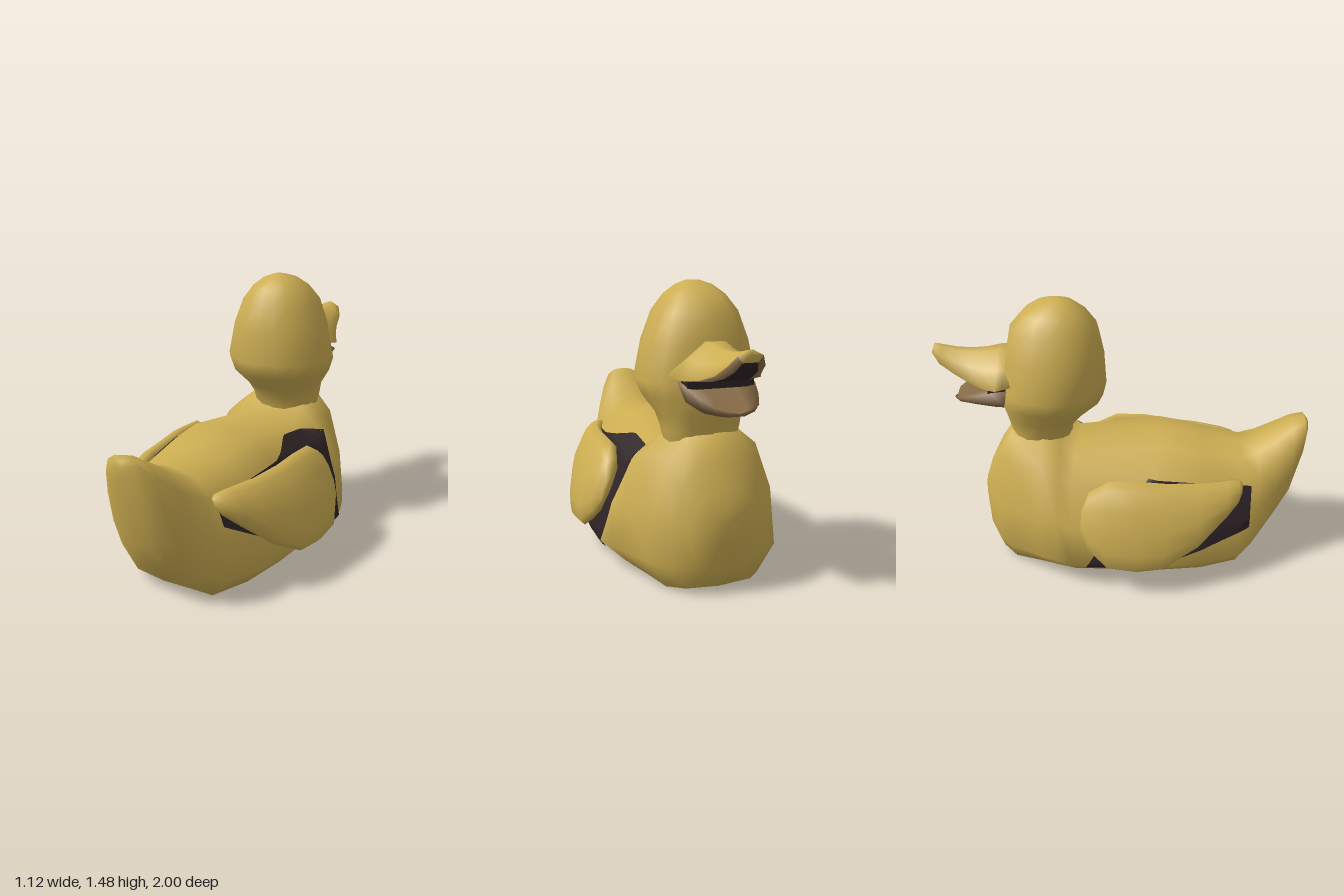
import * as THREE from 'three';

const yellow = new THREE.MeshStandardMaterial({ color: 0xccad52 });
yellow.name = 'yellow';
const dark = new THREE.MeshStandardMaterial({ color: 0x2e2326, side: THREE.DoubleSide });
dark.name = 'dark brown';
const brown = new THREE.MeshStandardMaterial({ color: 0x876b47 });
brown.name = 'beak brown';
const materials = [yellow, dark, brown];

// Skin through closed rings of [x, y, z]; paint(j) picks the material of strip j
function loft(name, rings, paint = () => 0) {
  const n = rings[0].length, pos = rings.flat(2), index = [];
  const geo = new THREE.BufferGeometry();
  for (let j = 0; j < n; j++) {
    const k = (j + 1) % n, start = index.length;
    for (let i = 0; i < rings.length - 1; i++) {
      const a = i * n + j, b = i * n + k;
      index.push(a, b, b + n, a, b + n, a + n);
    }
    geo.addGroup(start, index.length - start, paint(j));
  }
  // End caps
  const capStart = index.length;
  [0, rings.length - 1].forEach((r, end) => {
    const c = pos.length / 3;
    for (let d = 0; d < 3; d++) pos.push(rings[r].reduce((s, p) => s + p[d], 0) / n);
    for (let j = 0; j < n; j++) {
      const a = r * n + j, b = r * n + (j + 1) % n;
      if (end) index.push(a, b, c); else index.push(b, a, c);
    }
  });
  geo.addGroup(capStart, index.length - capStart, paint(-1));
  geo.setAttribute('position', new THREE.Float32BufferAttribute(pos, 3));
  geo.setIndex(index);
  geo.computeVertexNormals();
  const mesh = new THREE.Mesh(geo, materials);
  mesh.name = name;
  return mesh;
}

// Body stations: z, bottom, top, half width, roundness
const STATIONS = [
  [-0.775, 0.28, 0.44, 0.08, 1], [-0.745, 0.12, 0.53, 0.18, 0.8], [-0.68, 0.02, 0.665, 0.265, 0.3],
  [-0.6, 0.005, 0.79, 0.345, 0.1], [-0.42, 0.01, 0.795, 0.44, 0.2], [-0.33, 0.015, 0.76, 0.465, 0.1],
  [-0.25, 0.02, 0.69, 0.48, 0], [0.2, 0.02, 0.755, 0.475, 0], [0.45, 0.02, 0.715, 0.425, 0],
  [0.65, 0.02, 0.68, 0.35, 0.2], [0.74, 0.085, 0.715, 0.29, 0.5], [0.84, 0.23, 0.775, 0.225, 0.9],
  [0.92, 0.37, 0.83, 0.17, 1], [0.98, 0.64, 0.85, 0.115, 1], [1.0, 0.75, 0.83, 0.05, 1],
];
const HEIGHTS = [0, 0.02, 0.2, 0.5, 0.82, 0.96, 1];
const BODY_W = [0, 0.74, 1, 0.89, 0.66, 0.38, 0];
const TAIL_W = [0, 0.42, 0.85, 1, 0.86, 0.5, 0];
const lerp = THREE.MathUtils.lerp;

// Right-hand half of a body section, from bottom to top
const halfSection = ([, yb, yt, w, k]) =>
  HEIGHTS.map((h, i) => [w * lerp(BODY_W[i], TAIL_W[i], k), lerp(yb, yt, h)]);

// Half width of the body at a given z and y
function bodyX(z, y) {
  let i = 0;
  while (i < STATIONS.length - 2 && STATIONS[i + 1][0] < z) i++;
  const t = (z - STATIONS[i][0]) / (STATIONS[i + 1][0] - STATIONS[i][0]);
  const b = halfSection(STATIONS[i + 1]);
  const s = halfSection(STATIONS[i]).map((p, j) => [lerp(p[0], b[j][0], t), lerp(p[1], b[j][1], t)]);
  let j = 0;
  while (j < s.length - 2 && s[j + 1][1] < y) j++;
  return lerp(s[j][0], s[j + 1][0], (y - s[j][1]) / (s[j + 1][1] - s[j][1]));
}

function makeBody() {
  return loft('body', STATIONS.map((st) => {
    const half = halfSection(st);
    const left = half.slice(1, -1).reverse().map(([x, y]) => [-x, y]);
    return [...half, ...left].map(([x, y]) => [x, y, st[0]]);
  }));
}

// Neck and head rings: y, front z, back z, half width
function makeHead() {
  const rows = [
    [0.6, -0.57, -0.32, 0.15], [0.71, -0.6, -0.285, 0.185], [0.78, -0.612, -0.275, 0.2],
    [0.85, -0.63, -0.21, 0.215], [0.94, -0.65, -0.11, 0.275], [1.02, -0.64, -0.09, 0.305],
    [1.2, -0.62, -0.1, 0.265], [1.34, -0.59, -0.13, 0.21], [1.42, -0.52, -0.19, 0.15],
    [1.465, -0.45, -0.25, 0.09], [1.485, -0.38, -0.3, 0.035],
  ];
  const n = 16;
  return loft('head', rows.map(([y, zf, zb, w]) => Array.from({ length: n }, (_, j) => {
    const a = (j / n) * Math.PI * 2, s = Math.sin(a);
    // The face is squarer than the back of the head
    const wide = s > 0 ? Math.sign(Math.cos(a)) * Math.abs(Math.cos(a)) ** 0.7 : Math.cos(a);
    return [0.015 + w * wide, y, (zf + zb) / 2 - s * (zb - zf) / 2];
  })));
}

// Upper bill: z, ridge y, edge y, underside y, half width
function makeUpperBeak() {
  const rows = [
    [-1.0, 1.225, 1.2, 1.17, 0.06], [-0.96, 1.215, 1.15, 1.125, 0.09], [-0.88, 1.2, 1.1, 1.085, 0.11],
    [-0.8, 1.195, 1.07, 1.06, 0.145], [-0.72, 1.2, 1.055, 1.05, 0.19], [-0.65, 1.215, 1.06, 1.045, 0.225],
    [-0.61, 1.215, 1.07, 1.045, 0.225], [-0.52, 1.2, 1.08, 1.05, 0.18],
  ];
  return loft('upperBeak', rows.map(([z, yt, ye, yb, w]) => [
    [w, ye], [0.6 * w, lerp(ye, yt, 0.5)], [0.2 * w, yt], [-0.2 * w, yt],
    [-0.6 * w, lerp(ye, yt, 0.5)], [-w, ye], [-0.6 * w, yb], [0.6 * w, yb],
  ].map(([x, y]) => [x + 0.01, y, z])), (j) => (j === 6 ? 1 : j === 5 || j === 7 ? 2 : 0));
}

// Lower bill: z, top y, bottom y, half width
function makeLowerBeak() {
  const rows = [
    [-0.905, 0.945, 0.92, 0.06], [-0.87, 0.96, 0.912, 0.11], [-0.78, 0.99, 0.9, 0.15],
    [-0.68, 1.025, 0.89, 0.18], [-0.62, 1.035, 0.89, 0.185], [-0.52, 1.035, 0.91, 0.15],
  ];
  return loft('lowerBeak', rows.map(([z, yt, yb, w]) => [
    [w, yt], [0.45 * w, yt - 0.015], [-0.45 * w, yt - 0.015], [-w, yt],
    [-0.8 * w, lerp(yb, yt, 0.35)], [-0.4 * w, yb], [0.4 * w, yb], [0.8 * w, lerp(yb, yt, 0.35)],
  ].map(([x, y]) => [x + 0.01, y, z])), () => 2);
}

// Dark gap between the bills
function makeMouth() {
  const mesh = new THREE.Mesh(new THREE.BoxGeometry(0.33, 0.05, 0.14), dark);
  mesh.name = 'mouth';
  mesh.position.set(0.01, 1.035, -0.63);
  return mesh;
}

// Wing sections: z, bottom, top, centre x, half thickness; leaning with the body side
function makeWing(side) {
  const rows = [
    [-0.2, 0.35, 0.47, 0.435, 0.02], [-0.16, 0.27, 0.57, 0.44, 0.055], [-0.06, 0.18, 0.63, 0.445, 0.08],
    [0.1, 0.165, 0.635, 0.445, 0.08], [0.24, 0.175, 0.62, 0.43, 0.075], [0.42, 0.28, 0.61, 0.4, 0.075],
    [0.57, 0.42, 0.6, 0.35, 0.065], [0.63, 0.48, 0.59, 0.325, 0.05], [0.65, 0.52, 0.57, 0.31, 0.025],
  ];
  const n = 12;
  return loft(side > 0 ? 'leftWing' : 'rightWing', rows.map(([z, yb, yt, cx, t]) => {
    const ring = Array.from({ length: n }, (_, j) => {
      const a = (j / n) * Math.PI * 2;
      const y = (yb + yt) / 2 + Math.sin(a) * (yt - yb) / 2;
      return [side * (cx - (y - 0.4) * 0.34 + Math.cos(a) * t), y, z];
    });
    return side > 0 ? ring : ring.reverse();
  }));
}

// Dark patch lying on the body behind each wing; the right one sits further back
function makeWingPatch(side) {
  const [frontLow, frontHigh, rear, rearLow] = side > 0 ? [-0.25, -0.34, 0.64, 0.43] : [-0.19, 0.15, 0.7, 0.3];
  const geo = new THREE.PlaneGeometry(1, 1, 32, 24), p = geo.attributes.position;
  for (let i = 0; i < p.count; i++) {
    const u = p.getX(i) + 0.5, v = p.getY(i) + 0.5;
    const z = lerp(lerp(frontLow, frontHigh, v), rear, u);
    const low = z < 0.18 ? lerp(0.115, 0.16, (z + 0.3) / 0.48) : lerp(0.16, rearLow, (z - 0.18) / 0.46);
    const high = z < -0.05 ? lerp(0.63, 0.665, (z + 0.33) / 0.28)
      : z < 0.1 ? lerp(0.665, 0.63, (z + 0.05) / 0.15) : lerp(0.63, 0.56, (z - 0.1) / 0.53);
    const y = lerp(low, high, v);
    p.setXYZ(i, side * (bodyX(z, y) + 0.009), y, z);
  }
  geo.computeVertexNormals();
  const mesh = new THREE.Mesh(geo, dark);
  mesh.name = side > 0 ? 'leftWingPatch' : 'rightWingPatch';
  return mesh;
}

export function createModel() {
  const duck = new THREE.Group();
  duck.name = 'duck';
  duck.add(makeBody(), makeHead(), makeUpperBeak(), makeLowerBeak(), makeMouth());
  for (const side of [1, -1]) duck.add(makeWing(side), makeWingPatch(side));
  // The bird sits slightly turned
  duck.rotation.y = -0.1;
  const model = new THREE.Group();
  model.name = 'toyDuck';
  model.add(duck);
  return model;
}
